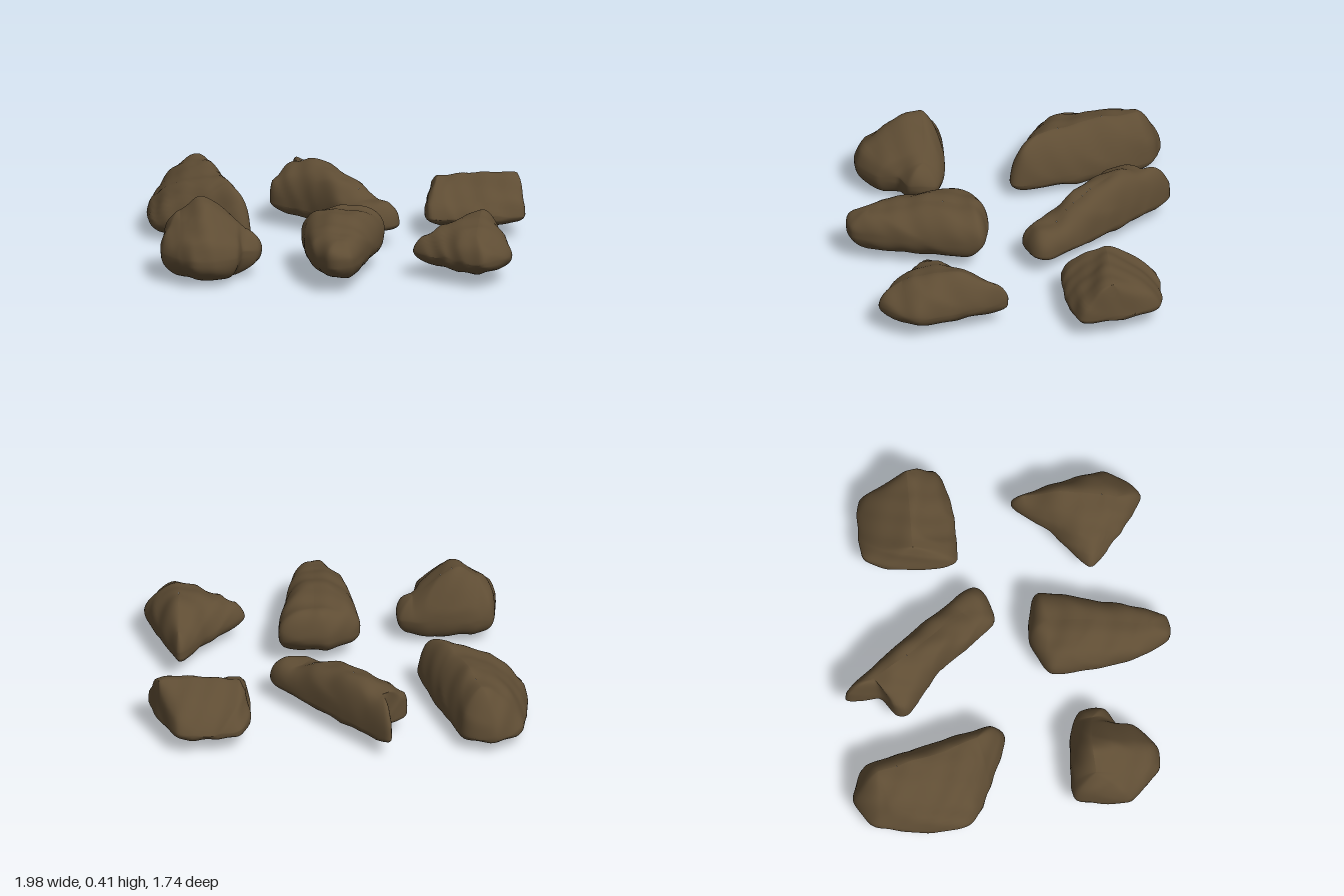
import * as THREE from 'three';

const stone = new THREE.MeshStandardMaterial({ color: 0x5f4d34 });
stone.name = 'brownStone';

const AROUND = 120, RINGS = 16;

// Smooth lumps with sharper folds, driven by position
function lump(x, y, z) {
  const a = Math.sin(11 * x + 7 * y + 2 * Math.sin(8 * z)) * Math.cos(10 * z - 9 * y + 4 * x);
  const b = Math.abs(Math.sin(9 * z + 13 * x + 2 * Math.sin(11 * y + 8 * x)));
  const c = Math.sin(29 * x - 17 * z + 23 * y) * Math.sin(19 * x + 25 * z);
  return 0.5 * a + 0.5 * (0.6 - b) + 0.3 * c;
}

// Crest point level with p along the line between the crest's ends
function crestPoint(p, crest) {
  const a = crest.getPoint(0), axis = crest.getPoint(1).sub(a).setY(0);
  const t = p.clone().sub(a).dot(axis) / axis.lengthSq();
  return crest.getPoint(THREE.MathUtils.clamp(t, 0, 1));
}

// A rock from its clockwise footprint [x, z] and crest line [x, y, z]:
// rings run from the crest out to the waist, then under to the keel.
// fullness 1 gives straight slopes, 2 round ones, 3 blocky ones
function makeRock(name, { outline, crest, waist, keel, fullness }) {
  const curve = new THREE.CatmullRomCurve3(
    outline.map(([x, z]) => new THREE.Vector3(x, waist, z)), true, 'catmullrom', 0.3);
  const rim = curve.getSpacedPoints(AROUND).slice(0, AROUND);
  const centre = rim.reduce((s, p) => s.add(p), new THREE.Vector3()).divideScalar(AROUND);
  const crestCurve = new THREE.CatmullRomCurve3(crest.map((c) => new THREE.Vector3(...c)));
  const tops = rim.map((p) => crestPoint(p, crestCurve));
  const base = new THREE.Vector3(centre.x, keel, centre.z);
  const positions = [], index = [];
  for (let j = 0; j <= 2 * RINGS; j++) {
    const angle = Math.abs(1 - j / RINGS) * Math.PI / 2, under = j > RINGS;
    const power = 2 / (under ? 2.3 : fullness);
    const h = 1 - Math.max(0, Math.cos(angle)) ** power;
    const v = Math.sin(angle) ** power;
    for (let i = 0; i < AROUND; i++) {
      const p = rim[i], q = under ? base : tops[i];
      const x = THREE.MathUtils.lerp(p.x, q.x, h), z = THREE.MathUtils.lerp(p.z, q.z, h);
      const y = THREE.MathUtils.lerp(p.y, q.y, v);
      const n = lump(x, y, z) * 0.016;
      const out = Math.hypot(x - centre.x, z - centre.z) + 0.1;
      positions.push(x + n * (x - centre.x) / out * 0.7, Math.max(0, y + n * (under ? -0.5 : 1)),
        z + n * (z - centre.z) / out * 0.7);
    }
  }
  for (let j = 0; j < 2 * RINGS; j++) {
    for (let i = 0; i < AROUND; i++) {
      const i1 = (i + 1) % AROUND;
      const a = j * AROUND + i, a1 = j * AROUND + i1, b = a + AROUND, b1 = a1 + AROUND;
      index.push(b, a, b1, a, a1, b1);
    }
  }
  const geometry = new THREE.BufferGeometry();
  geometry.setAttribute('position', new THREE.Float32BufferAttribute(positions, 3));
  geometry.setIndex(index);
  geometry.computeVertexNormals();
  const mesh = new THREE.Mesh(geometry, stone);
  mesh.name = name;
  return mesh;
}

export function createModel() {
  const group = new THREE.Group();
  group.name = 'rocks';

  // Back row
  group.add(makeRock('backRightLongRock', {
    outline: [[-0.78, -0.87], [-0.6, -0.78], [-0.45, -0.12], [-0.53, -0.05], [-0.93, -0.24], [-0.99, -0.42], [-0.93, -0.76]],
    crest: [[-0.71, 0.34, -0.73], [-0.65, 0.35, -0.45], [-0.57, 0.33, -0.2]],
    waist: 0.1, keel: 0.012, fullness: 1.6,
  }));
  group.add(makeRock('backMiddleRock', {
    outline: [[-0.2, -0.85], [0.3, -0.2], [0.3, -0.08], [0.12, -0.05], [-0.1, -0.34], [-0.33, -0.53], [-0.33, -0.6], [-0.23, -0.68]],
    crest: [[-0.19, 0.32, -0.72], [-0.09, 0.35, -0.53], [0.17, 0.25, -0.2]],
    waist: 0.13, keel: 0.06, fullness: 2.4,
  }));
  group.add(makeRock('backLeftBlockRock', {
    outline: [[0.57, -0.69], [0.88, -0.67], [0.98, -0.25], [0.49, -0.2], [0.48, -0.54]],
    crest: [[0.53, 0.3, -0.43], [0.95, 0.325, -0.42]],
    waist: 0.13, keel: 0.06, fullness: 1.4,
  }));

  // Front row
  group.add(makeRock('frontRightPeakRock', {
    outline: [[-0.89, 0.28], [-0.55, 0.29], [-0.41, 0.35], [-0.42, 0.49], [-0.51, 0.54], [-0.54, 0.65], [-0.66, 0.74], [-0.78, 0.73], [-0.93, 0.56]],
    crest: [[-0.83, 0.35, 0.4], [-0.73, 0.43, 0.39], [-0.49, 0.25, 0.41]],
    waist: 0.15, keel: 0.012, fullness: 1.6,
  }));
  group.add(makeRock('frontMiddleRock', {
    outline: [[0, 0.13], [0.24, 0.2], [0.12, 0.68], [0.05, 0.85], [-0.07, 0.85], [-0.16, 0.65], [-0.19, 0.24]],
    crest: [[0.05, 0.33, 0.23], [0.02, 0.33, 0.5], [-0.01, 0.28, 0.75]],
    waist: 0.18, keel: 0.04, fullness: 2.2,
  }));
  group.add(makeRock('frontLeftRidgeRock', {
    outline: [[0.78, 0.12], [0.9, 0.6], [0.74, 0.79], [0.53, 0.64], [0.38, 0.49], [0.6, 0.3]],
    crest: [[0.77, 0.25, 0.19], [0.74, 0.33, 0.42], [0.71, 0.27, 0.66]],
    waist: 0.15, keel: 0.05, fullness: 1.7,
  }));
  return group;
}
